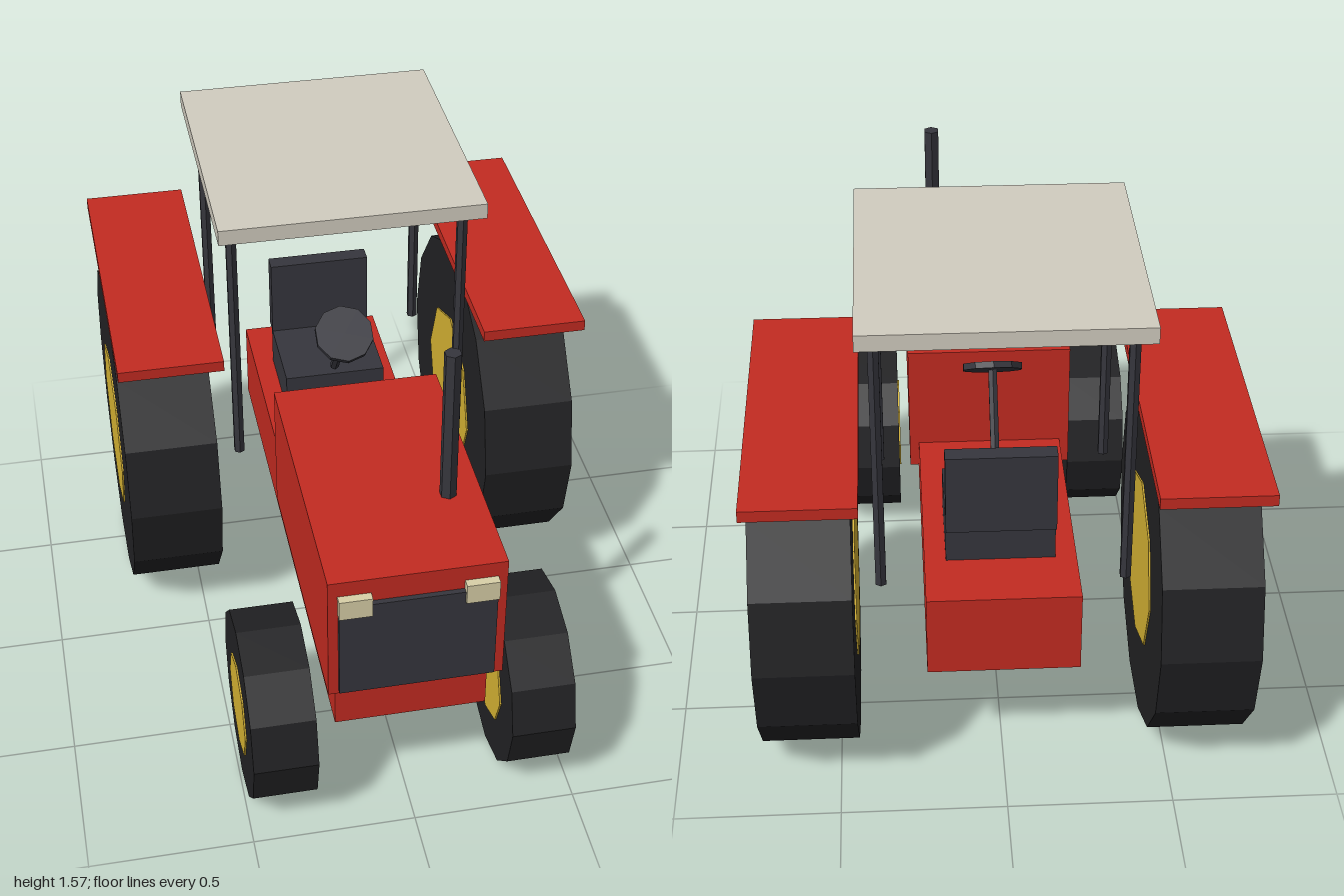
import * as THREE from 'three';

const paint = (color) => new THREE.MeshStandardMaterial({ color, flatShading: true });

export function createModel() {
  const model = new THREE.Group();
  model.name = 'tractor';

  const red = paint(0xc42b21);
  const rubber = paint(0x222224);
  const yellow = paint(0xd8b434);
  const dark = paint(0x36363d);
  const cream = paint(0xd9d0a8);
  const canvas = paint(0xd2cdc0);

  const add = (name, geometry, material, x, y, z, parent = model) => {
    const mesh = new THREE.Mesh(geometry, material);
    mesh.name = name;
    mesh.position.set(x, y, z);
    parent.add(mesh);
    return mesh;
  };
  // box given by its extents along each axis
  const box = (name, material, [x0, x1], [y0, y1], [z0, z1]) =>
    add(name, new THREE.BoxGeometry(x1 - x0, y1 - y0, z1 - z0), material,
      (x0 + x1) / 2, (y0 + y1) / 2, (z0 + z1) / 2);
  // upright rod
  const rod = (name, radius, x, [y0, y1], z) =>
    add(name, new THREE.CylinderGeometry(radius, radius, y1 - y0, 6), dark, x, (y0 + y1) / 2, z);

  // tyre with a slightly wider hub through it
  const wheel = (name, x, y, z, radius, width, sides, hubRadius) => {
    const group = new THREE.Group();
    group.name = name;
    group.position.set(x, y, z);
    group.rotation.z = Math.PI / 2;
    add('tyre', new THREE.CylinderGeometry(radius, radius, width, sides), rubber, 0, 0, 0, group);
    add('hub', new THREE.CylinderGeometry(hubRadius, hubRadius, width + 0.01, 8), yellow, 0, 0, 0, group);
    model.add(group);
  };

  // body
  box('chassis', red, [-0.23, 0.23], [0.365, 0.63], [-0.8, 0.905]);
  box('hood', red, [-0.26, 0.26], [0.545, 0.97], [0.05, 0.965]);
  box('grille', dark, [-0.23, 0.23], [0.56, 0.89], [0.95, 0.982]);
  rod('exhaust', 0.026, 0.16, [0.9, 1.475], 0.64);

  // seat
  box('seatCushion', dark, [-0.165, 0.165], [0.63, 0.76], [-0.6, -0.3]);
  box('seatBack', dark, [-0.165, 0.165], [0.76, 1.02], [-0.64, -0.585]);

  // steering wheel on its tilted column
  const steering = new THREE.Group();
  steering.name = 'steering';
  steering.position.set(0, 1.027, -0.14);
  steering.rotation.x = 0.62;
  add('steeringWheel', new THREE.CylinderGeometry(0.095, 0.095, 0.02, 10), dark, 0, 0, 0, steering);
  add('steeringColumn', new THREE.CylinderGeometry(0.015, 0.015, 0.3, 6), dark, 0, -0.15, 0, steering);
  model.add(steering);

  // roof
  box('roof', canvas, [-0.41, 0.41], [1.515, 1.565], [-0.855, 0.03]);

  // mirrored parts
  for (const [side, s] of [['left', 1], ['right', -1]]) {
    const span = (a, b) => (s > 0 ? [a, b] : [-b, -a]);
    wheel(side + 'RearWheel', s * 0.5875, 0.53, -0.475, 0.525, 0.295, 14, 0.275);
    wheel(side + 'FrontWheel', s * 0.393, 0.295, 0.705, 0.295, 0.196, 12, 0.157);
    box(side + 'Fender', red, span(0.412, 0.74), [1.075, 1.11], [-1, 0.05]);
    box(side + 'Headlight', cream, span(0.135, 0.232), [0.855, 0.92], [0.955, 0.992]);
    rod(side + 'FrontPost', 0.018, s * 0.36, [0.66, 1.52], -0.08);
    rod(side + 'RearPost', 0.018, s * 0.36, [0.66, 1.52], -0.74);
  }
  return model;
}
